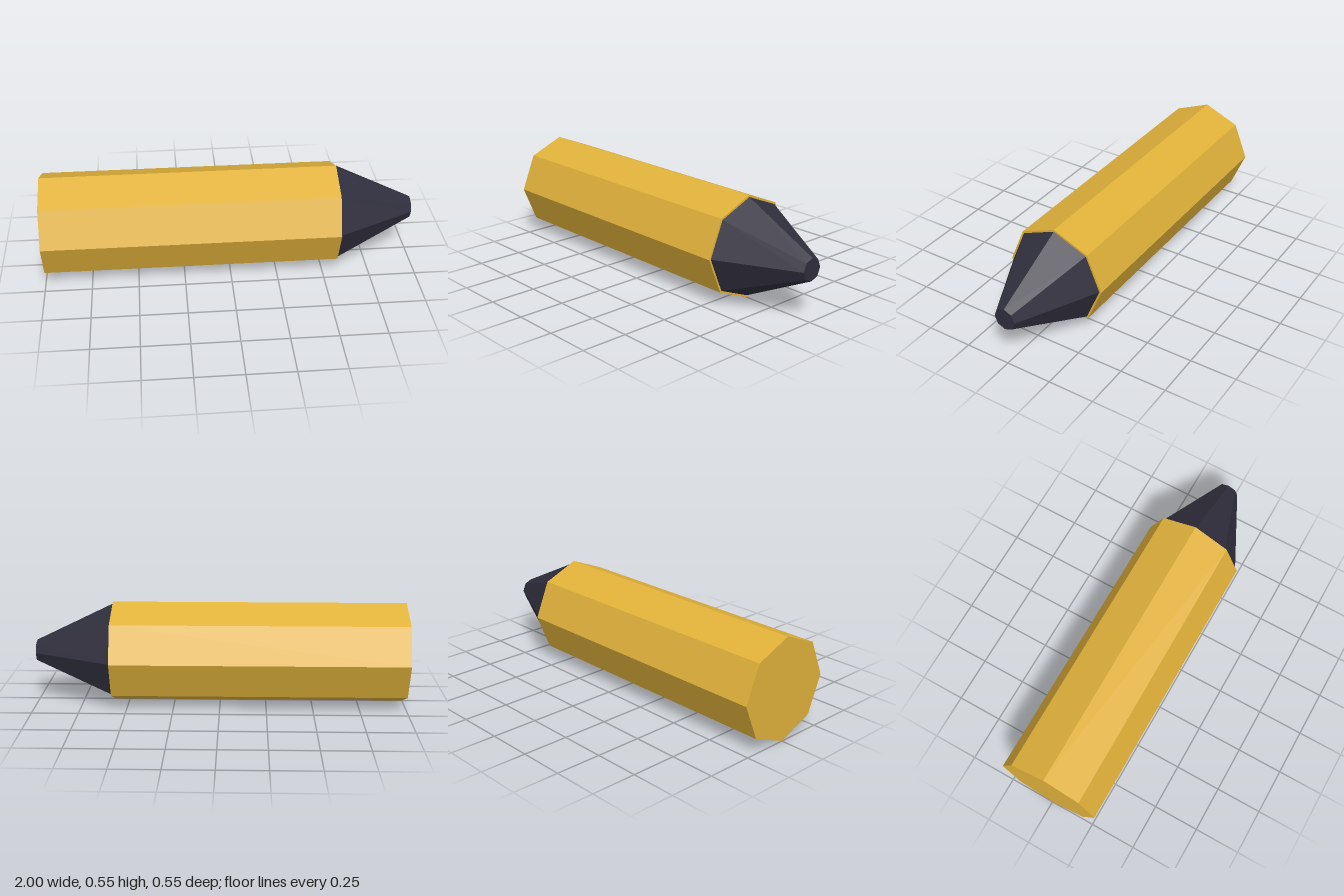
import * as THREE from 'three';

export function createModel() {
  const group = new THREE.Group();
  const gold = new THREE.MeshStandardMaterial({ color: 0xe0b13a, flatShading: true });
  gold.name = 'gold';
  const charcoal = new THREE.MeshStandardMaterial({ color: 0x2f2e3c, flatShading: true });
  charcoal.name = 'charcoal';

  const RADIUS = 0.276;
  const SHOULDER = 0.58; // x where the casing ends and the tip begins

  // Eight-sided frustum lying along x
  function frustum(name, x0, x1, r0, r1, material) {
    const geometry = new THREE.CylinderGeometry(r1, r0, x1 - x0, 8);
    geometry.rotateZ(-Math.PI / 2);
    const mesh = new THREE.Mesh(geometry, material);
    mesh.name = name;
    mesh.position.set((x0 + x1) / 2, RADIUS, 0);
    group.add(mesh);
  }

  frustum('casing', -1, SHOULDER, RADIUS, RADIUS, gold);
  // The tip is slightly narrower, leaving a thin gold rim
  frustum('tip', SHOULDER, 1, 0.265, 0.06, charcoal);

  return group;
}
